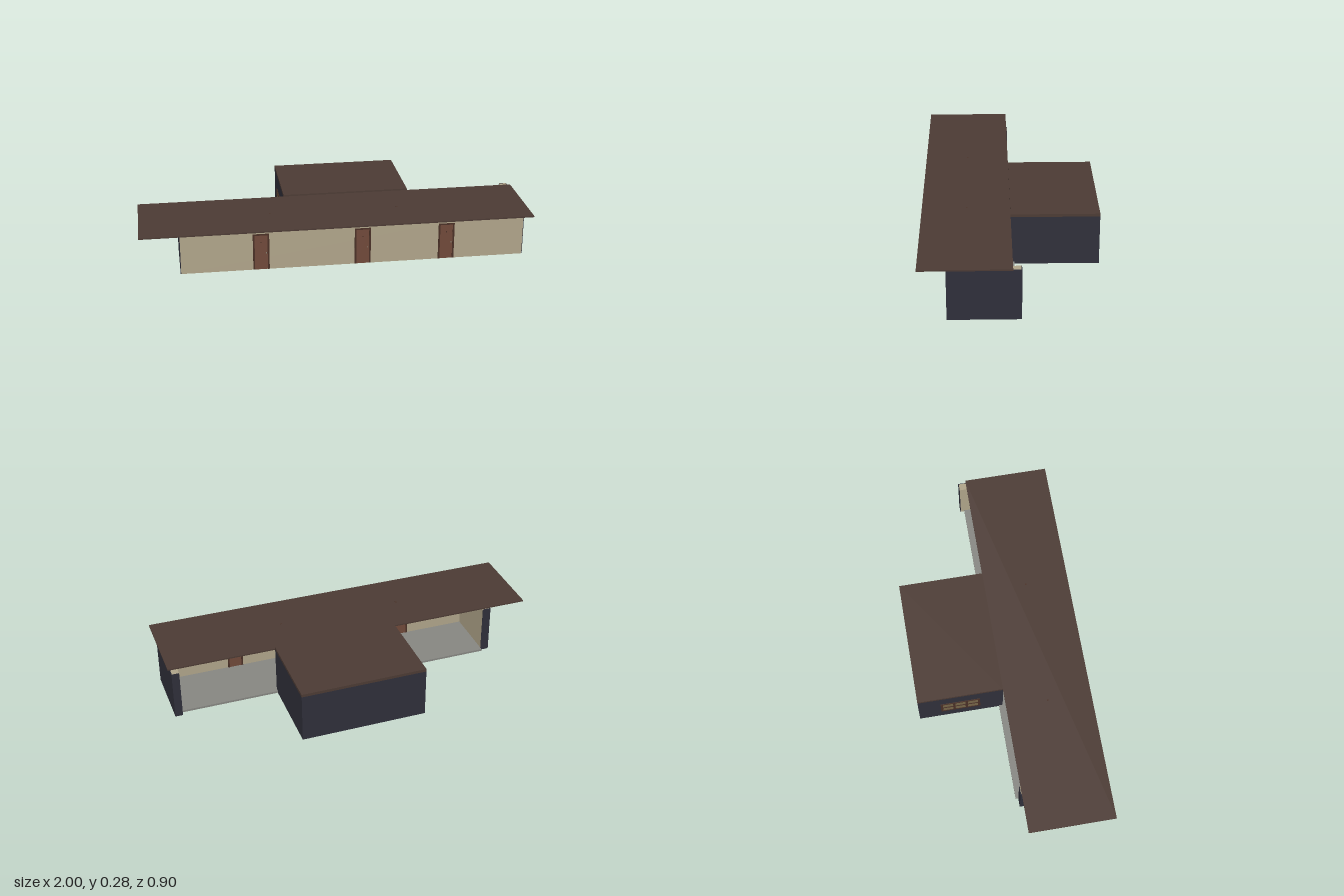
import * as THREE from 'three';

const mat = (name, color, extra = {}) => {
  const m = new THREE.MeshStandardMaterial({ color, ...extra });
  m.name = name;
  return m;
};

export function createModel() {
  const model = new THREE.Group();
  model.name = 'building';

  const plaster = mat('beige plaster', 0xb0a58a);
  const navy = mat('dark navy cladding', 0x2f2f3a);
  const roofing = mat('brown roofing', 0x4c3b34);
  const stone = mat('grey floor', 0x878782);
  const wood = mat('door wood', 0x70493a);
  const frameWood = mat('dark frame wood', 0x4a3026);
  const boards = mat('dark floor boards', 0x40302a);
  const rug = mat('dark red rug', 0x5a1c1c);
  const pane = mat('window pane', 0x756547);
  const metal = mat('metal', 0x8a8272);

  // Box given by its minimum and maximum on each axis
  const box = (name, material, [x0, x1], [y0, y1], [z0, z1], parent = model) => {
    const mesh = new THREE.Mesh(new THREE.BoxGeometry(x1 - x0, y1 - y0, z1 - z0), material);
    mesh.position.set((x0 + x1) / 2, (y0 + y1) / 2, (z0 + z1) / 2);
    mesh.name = name;
    parent.add(mesh);
    return mesh;
  };

  const H = 0.262; // wall height
  const T = 0.003; // cladding thickness

  // Long hall, open at the back
  box('hallFloor', stone, [-0.755, 0.95], [0.001, 0.012], [-0.02, 0.29]);
  box('frontWall', plaster, [-0.797, 0.987], [0, H], [0.285, 0.312]);
  box('rightEndWall', plaster, [-0.797, -0.755], [0, H], [-0.003, 0.285]);
  box('leftEndWall', plaster, [0.95, 0.987], [0, H], [-0.039, 0.285]);
  box('rightEndCladding', navy, [-0.8, -0.797], [0, H], [-0.006, 0.312]);
  box('rightEndCap', navy, [-0.797, -0.755], [0, H], [-0.006, -0.003]);
  box('leftEndCladding', navy, [0.987, 0.99], [0, H], [-0.042, 0.312]);
  box('leftEndCap', navy, [0.95, 0.987], [0, H], [-0.042, -0.039]);

  // Wide flat roof over the hall
  box('hallRoof', roofing, [-1, 1], [H, 0.269], [0, 0.448]);

  // Back room: navy outside, plaster inside, open towards the hall
  const x0 = -0.235, x1 = 0.43, zb = -0.45, w = 0.015;
  box('roomFloor', boards, [x0 + w, x1 - w], [0.001, 0.012], [zb + w, -0.02]);
  box('roomBackCladding', navy, [x0, x1], [0, H], [zb, zb + T]);
  box('roomBackWall', plaster, [x0 + T, x1 - T], [0.002, H], [zb + T, zb + w]);
  box('roomRightCladding', navy, [x0, x0 + T], [0, H], [zb + T, 0]);
  box('roomRightWall', plaster, [x0 + T, x0 + w], [0.002, H], [zb + w, 0]);
  box('roomLeftCladding', navy, [x1 - T, x1], [0, H], [zb + T, 0]);
  box('roomLeftWall', plaster, [x1 - w, x1 - T], [0.002, H], [zb + w, 0]);
  box('roomRoof', roofing, [x0, x1], [H, 0.277], [zb, 0]);

  // Red rugs showing through the room floor
  for (const [x, z] of [[0.18, -0.39], [-0.14, -0.38], [-0.14, -0.07]]) {
    box('rug', rug, [x - 0.055, x + 0.055], [0, 0.014], [z - 0.04, z + 0.04]);
  }

  // Three front doors, visible from both sides of the wall
  for (const x of [-0.387, 0.138, 0.578]) {
    const door = new THREE.Group();
    door.name = 'frontDoor';
    door.position.x = x;
    model.add(door);
    for (const s of [-1, 1]) {
      const a = s * 0.033, b = s * 0.042;
      box('doorJamb', frameWood, [Math.min(a, b), Math.max(a, b)], [0.001, 0.197], [0.282, 0.315], door);
    }
    box('doorHead', frameWood, [-0.033, 0.033], [0.189, 0.197], [0.282, 0.315], door);
    box('doorLeaf', wood, [-0.033, 0.033], [0.001, 0.189], [0.284, 0.313], door);
    box('peephole', frameWood, [-0.003, 0.003], [0.147, 0.153], [0.283, 0.314], door);
    box('doorHandle', metal, [0.024, 0.028], [0.088, 0.096], [0.281, 0.316], door);
  }

  // Window of the back room: six panes in a dark frame
  const win = new THREE.Group();
  win.name = 'roomWindow';
  model.add(win);
  const wx = [x0 - 0.004, x0 + 0.001];
  for (let i = 0; i < 4; i++) {
    const z = -0.326 + i * 0.066;
    box('windowUpright', frameWood, wx, [0.075, 0.185], [z - 0.006, z + 0.006], win);
  }
  for (let j = 0; j < 3; j++) {
    const y = 0.08 + j * 0.05;
    box('windowRail', frameWood, [wx[0] + 0.0005, wx[1]], [y - 0.005, y + 0.005], [-0.33, -0.124], win);
  }
  box('windowPanes', pane, [x0 - 0.0015, x0 + 0.001], [0.08, 0.18], [-0.326, -0.128], win);

  // Hanging lamp and small roof fixings
  const rod = new THREE.Mesh(new THREE.CylinderGeometry(0.002, 0.002, 0.03, 8), metal);
  rod.position.set(0.57, 0.247, 0.17);
  rod.name = 'lampRod';
  const bulb = new THREE.Mesh(new THREE.SphereGeometry(0.008, 12, 8), metal);
  bulb.position.set(0.57, 0.228, 0.17);
  bulb.name = 'lampBulb';
  model.add(rod, bulb);
  for (const x of [-0.33, 0.33]) {
    box('roofFixing', frameWood, [x - 0.004, x + 0.004], [0.268, 0.27], [0.216, 0.224]);
  }
  return model;
}
